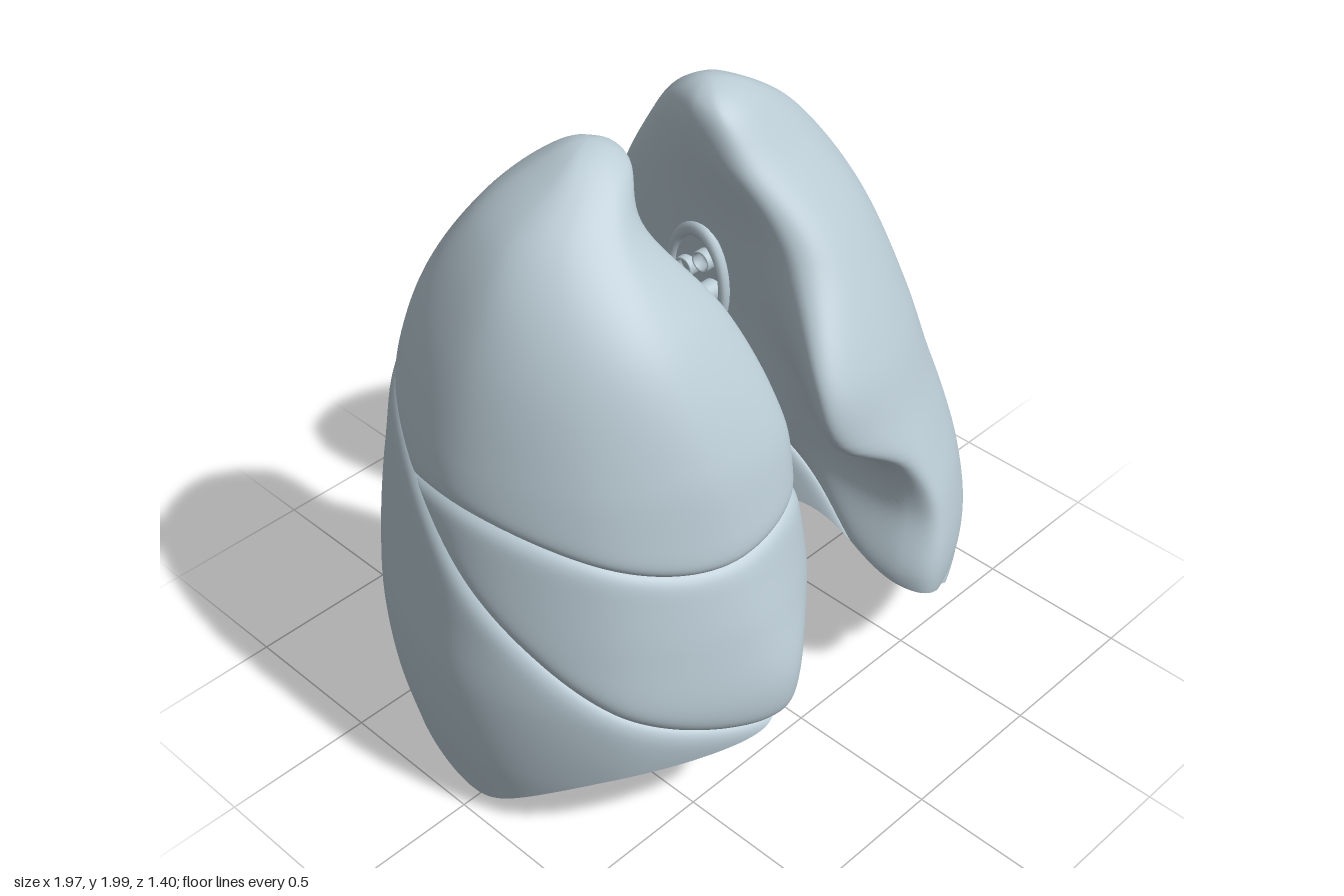
import * as THREE from 'three';

const COLS = 256, INNER = 16;
const tissue = new THREE.MeshStandardMaterial({ color: 0xb9cad3 });
tissue.name = 'pale blue grey';

// Cross-sections, x measured away from the midline:
// height, then x,z of back, outer side, front, front edge, inner side, inner back
const leftLung = {
  side: 1, name: 'leftLung',
  sections: [
    [2, .24, -.15, .24, -.15, .24, -.15, .24, -.15, .24, -.15, .24, -.15],
    [1.95, .27, -.27, .38, -.12, .25, -.03, .17, -.05, .15, -.13, .18, -.22],
    [1.8, .36, -.42, .57, -.12, .3, .09, .17, .06, .14, -.1, .17, -.32],
    [1.55, .46, -.56, .735, -.1, .36, .3, .2, .25, .2, 0, .16, -.42],
    [1.25, .52, -.63, .84, -.08, .38, .47, .085, .45, .24, .08, .16, -.46],
    [1.05, .53, -.66, .89, -.05, .4, .54, .12, .5, .27, .18, .15, -.46],
    [.9, .54, -.68, .92, -.03, .45, .59, .31, .54, .3, .2, .16, -.46],
    [.72, .54, -.695, .95, -.02, .48, .65, .37, .58, .32, .2, .16, -.44],
    [.5, .55, -.69, .98, 0, .46, .69, .3, .62, .25, .15, .16, -.4],
    [.25, .55, -.66, .98, .02, .45, .64, .33, .58, .2, .05, .15, -.33],
    [0, .55, -.6, .94, .05, .45, .5, .35, .45, .22, 0, .2, -.33],
  ],
  // rim height at back, back-outer, outer, front-outer, front, front edge, inner, inner back, back-inner
  rim: [.04, .03, .02, .15, .4, .47, .58, .27, .08],
  lobes: [['upperLobe', 70], ['lowerLobe', 48]],
  dome: .62, hilum: [.19, 1.32, -.15],
};
const rightLung = {
  side: -1, name: 'rightLung',
  sections: [
    [2, .25, -.15, .25, -.15, .25, -.15, .25, -.15, .25, -.15, .25, -.15],
    [1.95, .28, -.27, .4, -.12, .27, -.03, .19, -.05, .16, -.13, .19, -.22],
    [1.8, .36, -.42, .61, -.12, .38, .11, .25, .07, .2, -.06, .14, -.28],
    [1.55, .46, -.56, .76, -.1, .42, .33, .12, .27, .19, .02, .13, -.4],
    [1.25, .52, -.63, .86, -.08, .4, .48, .06, .43, .22, .05, .16, -.42],
    [1.05, .53, -.66, .9, -.05, .38, .54, .065, .48, .22, .08, .12, -.37],
    [.9, .54, -.68, .925, -.03, .37, .58, .05, .5, .2, .1, .07, -.27],
    [.72, .54, -.695, .955, -.02, .36, .64, .05, .52, .17, .1, .035, -.22],
    [.5, .55, -.69, .985, 0, .36, .69, .16, .58, .13, .05, .05, -.28],
    [.25, .55, -.66, .98, .02, .38, .65, .22, .55, .18, .05, .12, -.38],
    [0, .55, -.6, .94, .05, .42, .52, .3, .42, .3, 0, .28, -.45],
  ],
  rim: [.04, .04, .05, .28, .37, .5, .63, .54, .15],
  lobes: [['upperLobe', 56], ['middleLobe', 30], ['lowerLobe', 40]],
  dome: .68, hilum: [.185, 1.3, -.16],
};

// Smooth closed interpolation through a ring of numbers
function ring(values, t) {
  const n = values.length, i = Math.floor(t) % n, f = t - Math.floor(t);
  const [a, b, c, d] = [-1, 0, 1, 2].map((k) => values[(i + k + n) % n]);
  return b + 0.5 * f * (c - a + f * (2 * a - 5 * b + 4 * c - d + f * (3 * (b - c) + d - a)));
}

// Cross-section control points at height y, eased so the apex is round
function sectionAt(sections, y) {
  const key = (s) => Math.sqrt(2 - s[0]);
  const u = Math.sqrt(Math.max(0, 2 - y)), last = sections.length - 1;
  let k = 0;
  while (k < last - 1 && key(sections[k + 1]) < u) k++;
  const at = (i) => sections[Math.min(last, Math.max(0, i))];
  const [s0, s1, s2, s3] = [at(k - 1), at(k), at(k + 1), at(k + 2)];
  const h = key(s2) - key(s1), f = (u - key(s1)) / h;
  const v = s1.map((p, i) => {
    const m1 = (s2[i] - s0[i]) / (key(s2) - key(s0)) * h;
    const m2 = (s3[i] - p) / (key(s3) - key(s1)) * h;
    return p + f * (m1 + f * (3 * (s2[i] - p) - 2 * m1 - m2 + f * (2 * (p - s2[i]) + m1 + m2)));
  });
  const [, bx, bz, lx, lz, fx, fz, ex, ez, mx, mz, px, pz] = v, qb = 0.71, qf = 0.66;
  return {
    x: [bx, bx + (lx - bx) * qb, lx, fx + (lx - fx) * qf, fx, ex, mx, px, px + (bx - px) * 0.35],
    z: [bz, lz + (bz - lz) * qb, lz, lz + (fz - lz) * qf, fz, ez, mz, pz, pz + (bz - pz) * 0.68],
  };
}

function wall(lung, t, y) {
  const s = sectionAt(lung.sections, y);
  return new THREE.Vector3(ring(s.x, t), y, ring(s.z, t));
}

// Heights of the slanted and level fissures
const oblique = (p) => 0.855 - 0.76 * p.z + 0.12 * p.z * p.z;
const level = (p) => 0.95 + 0.68 * (p.x - 0.42) ** 2;

// Height where a fissure crosses the wall at ring position t
function crossing(lung, t, fissure) {
  let y = 0.9;
  for (let k = 0; k < 14; k++) y = THREE.MathUtils.clamp(fissure(wall(lung, t, y)), 0, 1.9);
  return y;
}

// Lobe borders down one column: apex, fissures, rim
function borders(lung, t) {
  const rim = ring(lung.rim, t);
  const slant = Math.max(rim, crossing(lung, t, oblique));
  if (lung.side > 0) return [2, slant, rim];
  return [2, Math.max(slant, crossing(lung, t, level)), slant, rim];
}

// Round the lobe edges in towards the lung's axis at the fissures
function press(lung, p) {
  const d = (p.y - oblique(p)) / 1.25;
  let gap = Math.abs(d);
  if (lung.side < 0 && d > 0) gap = Math.min(gap, Math.abs(p.y - level(p)));
  const depth = 0.024 * Math.exp(-gap / 0.018);
  const dx = 0.5 - p.x, dz = -p.z, len = Math.hypot(dx, dz) || 1;
  p.x += dx / len * depth;
  p.z += dz / len * depth;
  return p;
}

// Grid of rows from a point rule, closed around the columns
function sheet(lung, rows, point) {
  const pos = [], index = [];
  for (let j = 0; j <= rows; j++)
    for (let i = 0; i < COLS; i++) {
      const p = point(i, j / rows);
      pos.push(p.x * lung.side, p.y, p.z);
    }
  for (let j = 0; j < rows; j++)
    for (let i = 0; i < COLS; i++) {
      const a = j * COLS + i, b = j * COLS + (i + 1) % COLS, c = a + COLS, d = b + COLS;
      if (lung.side > 0) index.push(a, b, c, b, d, c);
      else index.push(a, c, b, b, c, d);
    }
  const geo = new THREE.BufferGeometry();
  geo.setAttribute('position', new THREE.Float32BufferAttribute(pos, 3));
  geo.setIndex(index);
  geo.computeVertexNormals();
  return geo;
}

function addMesh(group, name, geo) {
  const mesh = new THREE.Mesh(geo, tissue);
  mesh.name = name;
  group.add(mesh);
  return mesh;
}

function makeLung(lung) {
  const group = new THREE.Group();
  group.name = lung.name;
  const ts = Array.from({ length: COLS }, (_, i) => i / COLS * lung.rim.length);
  const edges = ts.map((t) => borders(lung, t));

  // Lobes, each running from one border down to the next
  lung.lobes.forEach(([name, rows], k) => {
    addMesh(group, name, sheet(lung, rows, (i, v) => {
      const f = v * v * (k === lung.lobes.length - 1 ? 2 - v : 3 - 2 * v);
      return press(lung, wall(lung, ts[i], THREE.MathUtils.lerp(edges[i][k], edges[i][k + 1], f)));
    }));
  });

  // Hollow underside that rests on the diaphragm
  addMesh(group, 'diaphragmSurface', sheet(lung, INNER, (i, v) => {
    const s = Math.cos(v * Math.PI / 2), low = ring(lung.rim, ts[i]);
    const p = press(lung, wall(lung, ts[i], low));
    p.x = 0.52 + (p.x - 0.52) * s;
    p.z *= s;
    p.y = low + (lung.dome - low) * (1 - s ** 2.2);
    return p;
  }));

  // Root of the lung: an oval lip around four open tube ends
  const [hx, hy, hz] = lung.hilum;
  const lip = addMesh(group, 'hilumLip', new THREE.TorusGeometry(0.13, 0.02, 10, 40));
  lip.position.set(hx * lung.side, hy, hz);
  lip.rotation.y = Math.PI / 2;
  lip.scale.set(0.85, 1.4, 1);
  const cup = [[.036, -.07], [.036, .02], [.028, .02], [.026, -.01], [0, -.01]]
    .map(([r, h]) => new THREE.Vector2(r, h));
  for (const [dy, dz] of [[.085, .03], [.03, -.045], [-.03, .04], [-.09, -.025]]) {
    const tube = addMesh(group, 'airwayStub', new THREE.LatheGeometry(cup, 20));
    tube.position.set(hx * lung.side, hy + dy, hz + dz);
    tube.rotation.z = lung.side * Math.PI / 2;
  }
  return group;
}

export function createModel() {
  const model = new THREE.Group();
  model.name = 'lungs';
  model.add(makeLung(leftLung), makeLung(rightLung));
  return model;
}
